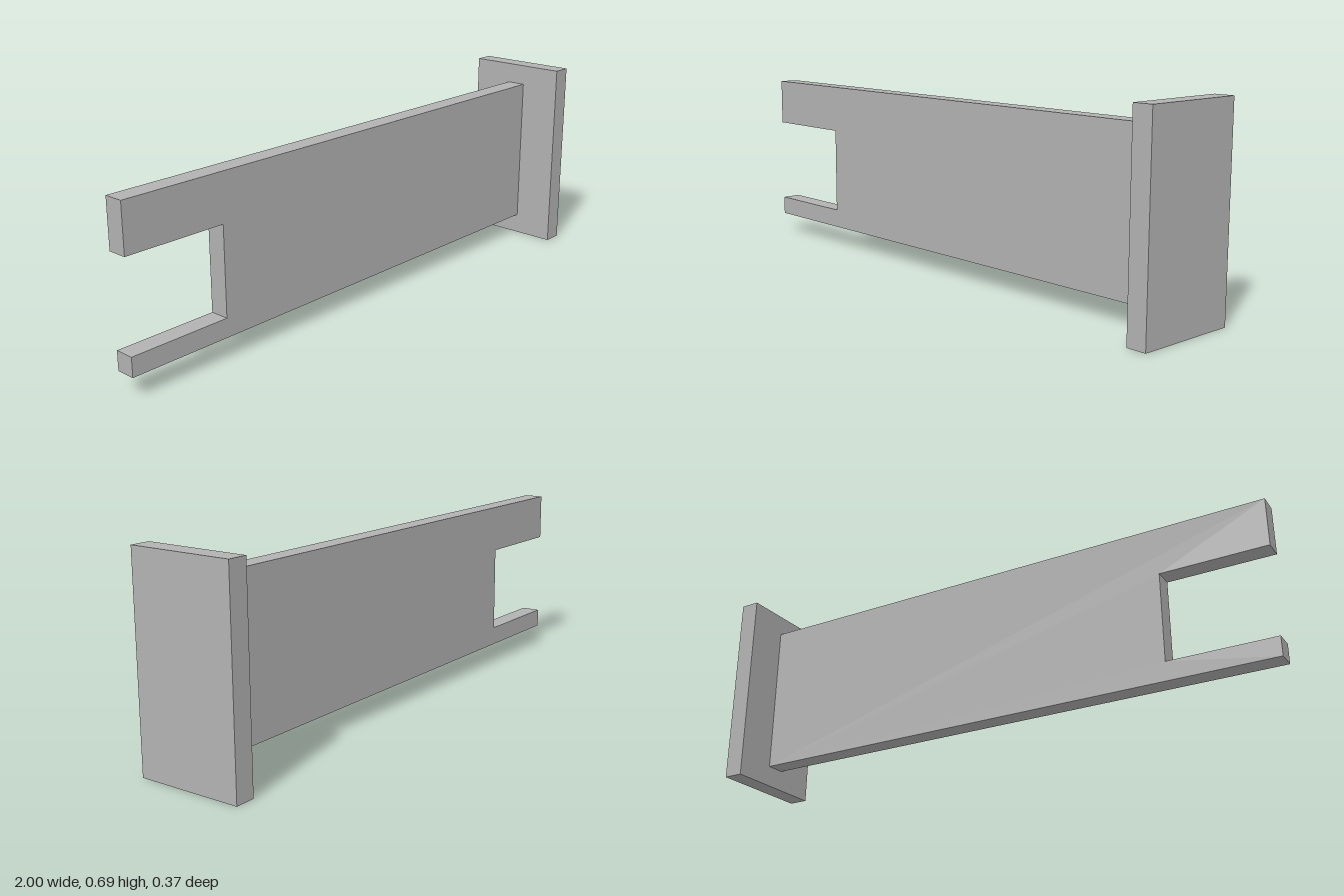
import * as THREE from 'three';

export function createModel() {
  const group = new THREE.Group();
  const grey = new THREE.MeshStandardMaterial({ color: 0xb2b2b2 });
  grey.name = 'plain grey';

  // Upright web plate with an off-centre slot open at its right end
  const outline = new THREE.Shape([
    [-1, 0.073], [0.932, 0.073], [0.932, 0.612], [-1, 0.612],
    [-1, 0.446], [-0.636, 0.446], [-0.636, 0.139], [-1, 0.139],
  ].map(([x, y]) => new THREE.Vector2(x, y)));
  const thickness = 0.068;
  const webGeometry = new THREE.ExtrudeGeometry(outline, { depth: thickness, bevelEnabled: false });
  webGeometry.translate(0, 0, -thickness / 2);
  const web = new THREE.Mesh(webGeometry, grey);
  web.name = 'slottedPlate';

  // Flat plate closing the left end
  const endPlate = new THREE.Mesh(new THREE.BoxGeometry(0.068, 0.685, 0.366), grey);
  endPlate.position.set(0.966, 0.3425, 0);
  endPlate.name = 'endPlate';

  group.add(web, endPlate);
  return group;
}
